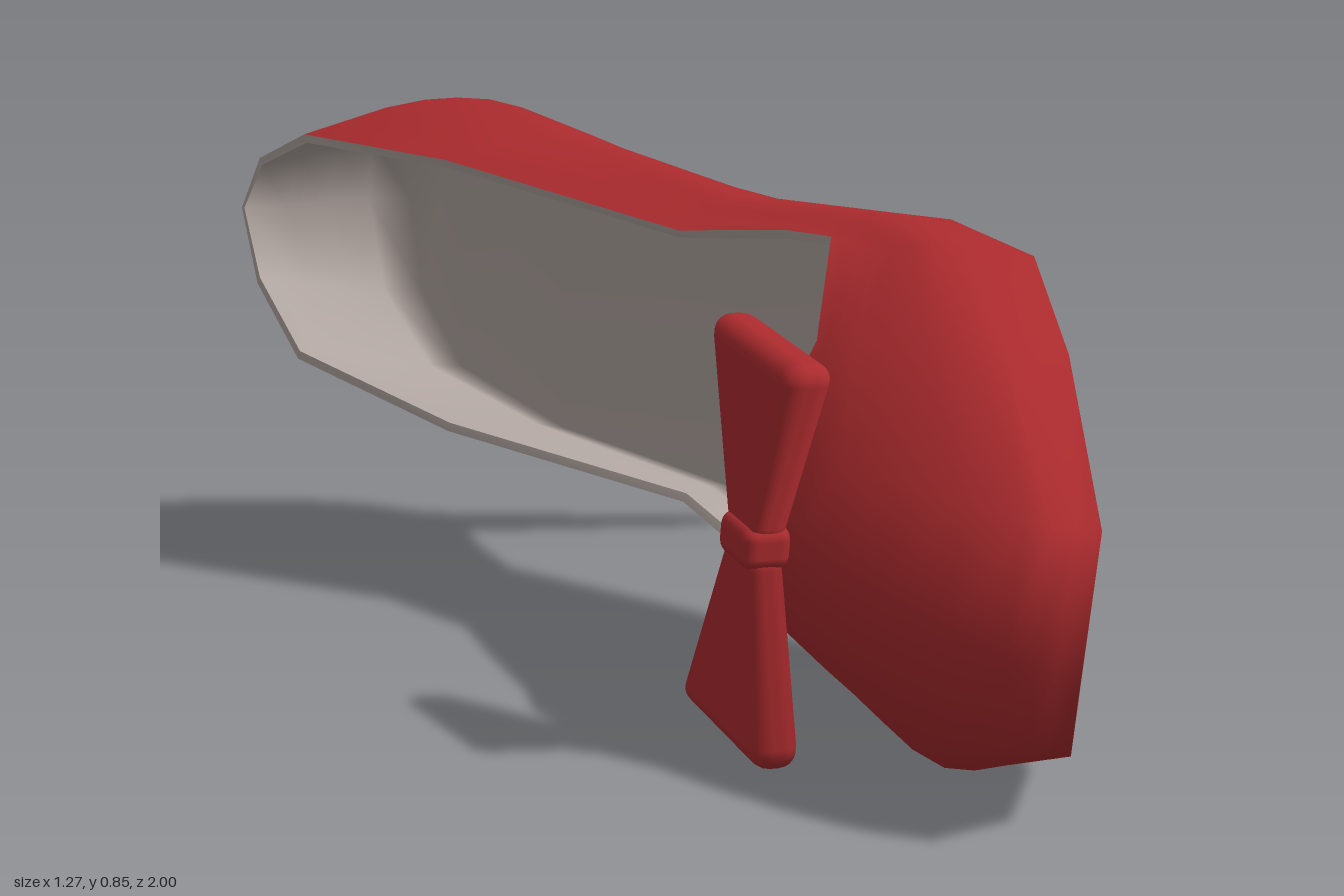
import * as THREE from 'three';
import { RoundedBoxGeometry } from 'three/addons/geometries/RoundedBoxGeometry.js';

const mat = (name, color, side = THREE.FrontSide) => {
  const m = new THREE.MeshStandardMaterial({ color, side });
  m.name = name;
  return m;
};

// Loops around the shoe: toe, along the +y side to the heel, back along the -y side
const soleLoop = [
  [.59, .25, .998], [.63, .43, .9], [.635, .61, .57], [.62, .715, .33], [.53, .735, .07], [.355, .715, -.22],
  [.08, .735, -.54], [.085, .68, -.68], [.11, .625, -.79], [.1, .56, -.905], [.11, .485, -.79], [.085, .41, -.68],
  [.08, .33, -.55], [.3, .25, -.3], [.47, .1, -.04], [.57, .02, .2], [.605, .015, .57], [.605, .105, .85]];
const wideLoop = [
  [.5, .27, .95], [.53, .44, .885], [.49, .645, .56], [.47, .735, .33], [.42, .745, .07], [.22, .735, -.22],
  [-.02, .81, -.48], [-.13, .83, -.72], [-.1, .74, -.9], [-.06, .62, -.988], [-.1, .47, -.93], [-.13, .345, -.8],
  [-.02, .27, -.57], [.2, .22, -.3], [.4, .1, -.04], [.46, .015, .2], [.47, .005, .57], [.52, .11, .84]];
const crownLoop = [
  [.29, .34, .68], [.31, .47, .63], [.34, .6, .48], [.39, .72, .28], [.33, .725, .06], [.17, .71, -.2],
  [-.14, .8, -.46], [-.3, .845, -.71], [-.36, .77, -.9], [-.34, .64, -.992], [-.34, .46, -.94], [-.3, .345, -.78],
  [-.14, .285, -.54], [.15, .23, -.27], [.33, .11, 0], [.36, .06, .24], [.34, .11, .55], [.31, .22, .66]];
const collarLoop = [
  [.185, .39, .445], [.23, .49, .45], [.295, .6, .385], [.33, .73, .22], [.28, .715, .04], [.12, .685, -.18],
  [-.26, .77, -.44], [-.51, .79, -.66], [-.6, .73, -.82], [-.64, .63, -.9], [-.61, .5, -.84], [-.53, .385, -.7],
  [-.26, .3, -.46], [.13, .235, -.18], [.26, .16, .04], [.29, .1, .2], [.245, .16, .33], [.19, .28, .41]];

const N = soleLoop.length;
const HALF = N / 2;
const ROWS = 9;
// Height of the footbed on the side walls, toe to heel, in rows
const footbedRow = [1, 1, 1, 1, 1.5, 2.5, 4, 5, 5.7, 6];

function build(points, index) {
  const g = new THREE.BufferGeometry().setFromPoints(points);
  g.setIndex(index);
  g.computeVertexNormals();
  return g;
}

// Corners of a skin between closed loops of N points
function skinIndex(count) {
  const index = [];
  for (let j = 0; j < count - 1; j++) {
    for (let i = 0; i < N; i++) {
      const k = (i + 1) % N;
      const a = j * N + i, b = j * N + k, c = a + N, d = b + N;
      index.push(a, b, c, b, d, c);
    }
  }
  return index;
}

// Corners of a surface spanning the first loop from side to side
function spanIndex() {
  const index = [];
  for (let k = 0; k < HALF; k++) {
    const a = k, b = (N - k) % N, c = N - k - 1, d = k + 1;
    if (a !== b) index.push(a, b, c);
    if (c !== d) index.push(a, c, d);
  }
  return index;
}

const skin = rows => build(rows.flat(), skinIndex(rows.length));

// Bow loop: a rounded slab that flares away from the knot
function bowLoop() {
  const length = .3;
  const g = new RoundedBoxGeometry(.078, length, .315, 3, .032);
  g.translate(0, length / 2, 0);
  const p = g.attributes.position;
  for (let i = 0; i < p.count; i++) {
    const t = p.getY(i) / length;
    p.setX(i, p.getX(i) * (.65 + .35 * t));
    p.setZ(i, p.getZ(i) * (.26 + .74 * t));
  }
  return g;
}

export function createModel() {
  const red = mat('red leather', 0xab2b2e);
  const welt = mat('muted red sole edge', 0x984442);
  const brown = mat('brown sole', 0x86624e);
  const grey = mat('grey lining', 0xb0a5a0, THREE.DoubleSide);
  const shoe = new THREE.Group();
  shoe.name = 'shoe';
  const add = (name, geometry, material, parent = shoe) => {
    const m = new THREE.Mesh(geometry, material);
    m.name = name;
    parent.add(m);
    return m;
  };

  // Upper, smoothed from sole edge to collar
  const columns = soleLoop.map((_, i) => new THREE.CatmullRomCurve3(
    [soleLoop, wideLoop, crownLoop, collarLoop].map(l => new THREE.Vector3(...l[i]))).getPoints(ROWS));
  const outer = Array.from({ length: ROWS + 1 }, (_, j) => columns.map(c => c[j]));
  const upper = skin(outer);
  add('upper', upper, red);

  // Sole with a muted margin that narrows towards the heel
  const edge = outer[0];
  const soleInset = edge.map((p, i) => i === 0
    ? p.clone().lerp(edge[1].clone().lerp(edge[N - 1], .5), .3)
    : p.clone().lerp(edge[N - i], Math.min(i, N - i) < 6 ? .045 : .01));
  add('soleMargin', skin([soleInset, edge]), welt);
  add('sole', build(soleInset, spanIndex()), brown);

  // Lining and footbed as one smooth bowl set inside the upper, with a rim
  const normals = upper.attributes.normal;
  const inner = outer.map((row, j) => row.map((p, i) =>
    p.clone().addScaledVector(new THREE.Vector3().fromBufferAttribute(normals, j * N + i), -.015)));
  const steps = 4;
  const lining = Array.from({ length: steps + 1 }, (_, s) => inner[0].map((_, i) => {
    const t = THREE.MathUtils.lerp(footbedRow[Math.min(i, N - i)], ROWS, s / steps);
    const j = Math.min(Math.floor(t), ROWS - 1);
    return inner[j][i].clone().lerp(inner[j + 1][i], t - j);
  }));
  // reversed corners turn the bowl's faces inwards
  const bowl = [...skinIndex(steps + 1), ...spanIndex()].reverse();
  add('liningAndFootbed', build(lining.flat(), bowl), grey);
  add('collarRim', skin([outer[ROWS], inner[ROWS]]), grey);

  // Stiletto heel: brown front flaring into the sole, red sides and back
  const heel = new THREE.Group();
  heel.name = 'heel';
  heel.position.set(0, .555, -.828);
  heel.rotation.z = -Math.PI / 2;
  const toPoints = list => list.map(p => new THREE.Vector2(...p));
  const shaft = [[.079, .1], [.07, .15], [.052, .34], [.031, .605]];
  const front = Math.PI * .84;
  add('heelFront', new THREE.LatheGeometry(toPoints([[.115, .075], [.092, .085], ...shaft]), 8, -front / 2, front), brown, heel);
  add('heelBack', new THREE.LatheGeometry(toPoints([[.072, .04], ...shaft]), 10, front / 2, Math.PI * 2 - front), red, heel);
  const tip = add('heelTip', new THREE.CircleGeometry(.031, 16), grey, heel);
  tip.rotation.x = -Math.PI / 2;
  tip.position.y = .605;
  shoe.add(heel);

  // Bow across the vamp: two flared loops and a knot
  const bow = new THREE.Group();
  bow.name = 'bow';
  bow.position.set(.195, .34, .545);
  bow.rotation.set(.12, .32, -.03, 'YXZ');
  for (const side of [1, -1]) {
    const loop = add(side > 0 ? 'bowLoopLeft' : 'bowLoopRight', bowLoop(), red, bow);
    if (side < 0) loop.rotation.z = Math.PI;
  }
  add('bowKnot', new RoundedBoxGeometry(.075, .065, .11, 2, .02), red, bow);
  shoe.add(bow);
  return shoe;
}
